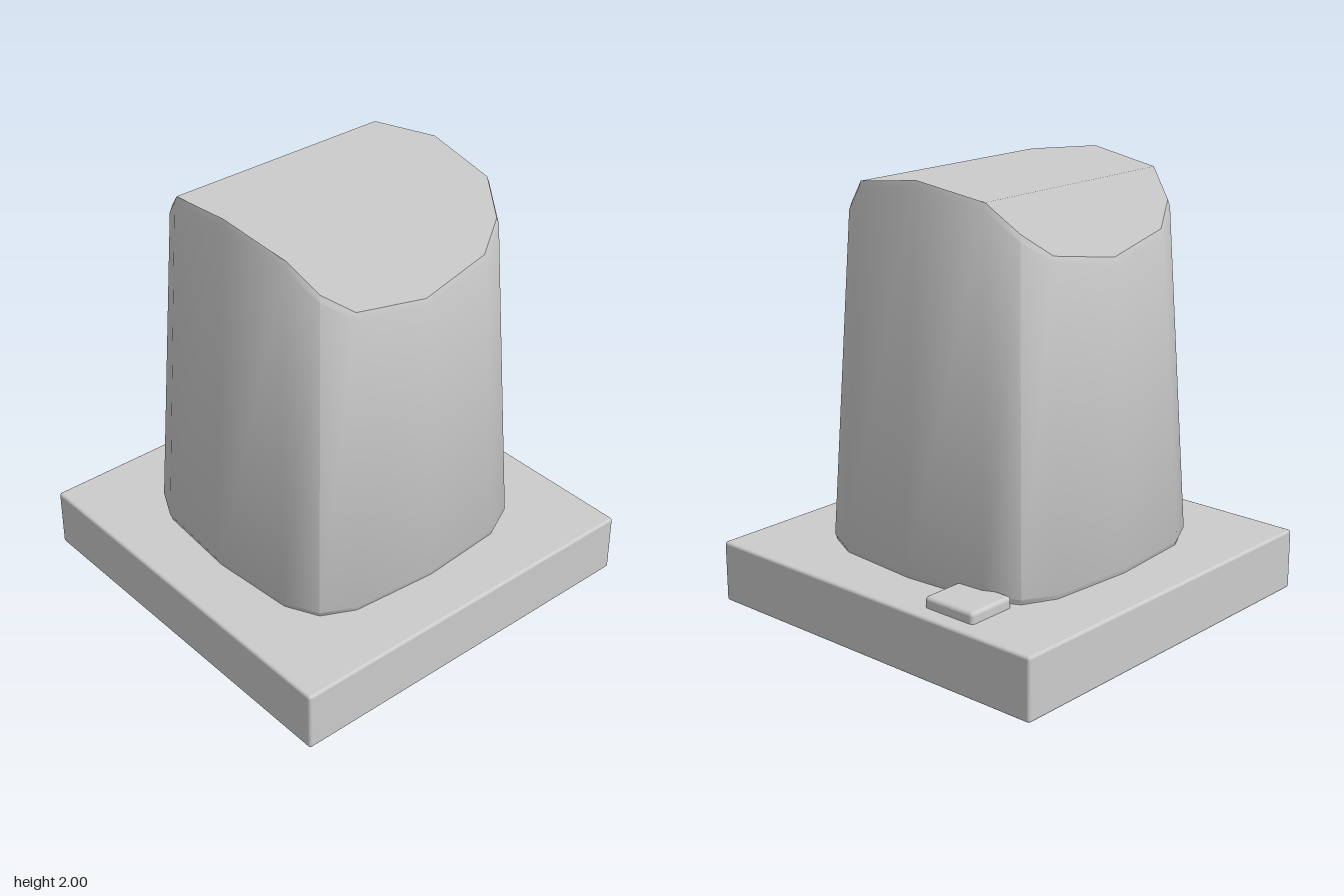
import * as THREE from 'three';
import { toCreasedNormals } from 'three/addons/utils/BufferGeometryUtils.js';
import { RoundedBoxGeometry } from 'three/addons/geometries/RoundedBoxGeometry.js';

const material = new THREE.MeshStandardMaterial({ color: 0xcccccc });
const SIDES = 16;

// Rounded-square outline, one quarter turned four times, running from +z towards +x
const quarter = [[0, 0.668], [0.41, 0.635], [0.56, 0.56], [0.635, 0.41]];
const outline = [];
for (let q = 0; q < 4; q++) {
  for (const [px, pz] of quarter) {
    let x = px, z = pz;
    for (let i = 0; i < q; i++) [x, z] = [z, -x];
    outline.push([x, z]);
  }
}

// Saddle rim: low at front and back, high at the sides
const rimHeights = [1.67, 1.73, 1.83, 1.95, 2.0, 1.95, 1.83, 1.73];
const rimY = (i) => rimHeights[i % 8];
const TOP_SCALE = 0.86;

function makeGeometry(positions, indices) {
  const geometry = new THREE.BufferGeometry();
  geometry.setAttribute('position', new THREE.Float32BufferAttribute(positions, 3));
  geometry.setIndex(indices);
  return geometry;
}

// Ring of outline points at a scale, with a height rule
const ring = (scale, height) =>
  outline.flatMap(([x, z], i) => [x * scale, height(i), z * scale]);

function wallGeometry() {
  const rings = [
    ring(0.985, () => 0.285),
    ring(0.99, () => 0.3),
    ring(1, () => 0.315),
    ring(0.873, (i) => rimY(i) - 0.03),
    ring(TOP_SCALE, rimY),
  ];
  const indices = [];
  for (let r = 0; r < rings.length - 1; r++) {
    for (let i = 0; i < SIDES; i++) {
      const a = r * SIDES + i;
      const b = r * SIDES + (i + 1) % SIDES;
      indices.push(a, b, b + SIDES, a, b + SIDES, a + SIDES);
    }
  }
  return toCreasedNormals(makeGeometry(rings.flat(), indices), 0.75);
}

// Cap laid in strips from side to side, with a small triangle up to each peak
function capGeometry() {
  const indices = [3, 4, 5, 11, 12, 13];
  const rows = [0, 1, 2, 3, 5, 6, 7, 8];
  for (let r = 0; r < rows.length - 1; r++) {
    const a = rows[r], b = rows[r + 1];
    const a2 = (SIDES - a) % SIDES, b2 = SIDES - b;
    if (a !== a2) indices.push(a, b, a2);
    if (b !== b2) indices.push(b, b2, a2);
  }
  const geometry = makeGeometry(ring(TOP_SCALE, rimY), indices);
  // One upward normal shades the cap as a single face
  const normals = outline.flatMap(() => [0, 1, 0]);
  geometry.setAttribute('normal', new THREE.Float32BufferAttribute(normals, 3));
  return geometry;
}

export function createModel() {
  const model = new THREE.Group();
  model.name = 'taperedBlockOnBase';

  const add = (name, geometry, x = 0, y = 0, z = 0) => {
    const mesh = new THREE.Mesh(geometry, material);
    mesh.name = name;
    mesh.position.set(x, y, z);
    model.add(mesh);
  };

  // Square base slab
  add('base', new RoundedBoxGeometry(1.825, 0.285, 1.825, 2, 0.014), 0, 0.1475, 0);

  // Tapered body and its saddle top
  add('bodyWall', wallGeometry());
  add('bodyCap', capGeometry());

  // Small tab beside the body
  add('sideTab', new RoundedBoxGeometry(0.24, 0.1, 0.27, 2, 0.018), 0.715, 0.29, -0.405);

  // Thin pads under the base
  for (const [x, z, w, d] of [[0.715, -0.4, 0.22, 0.22], [0.36, 0.7, 0.14, 0.14], [-0.63, 0.47, 0.17, 0.17]]) {
    add('footPad', new THREE.BoxGeometry(w, 0.02, d), x, 0.01, z);
  }

  return model;
}
